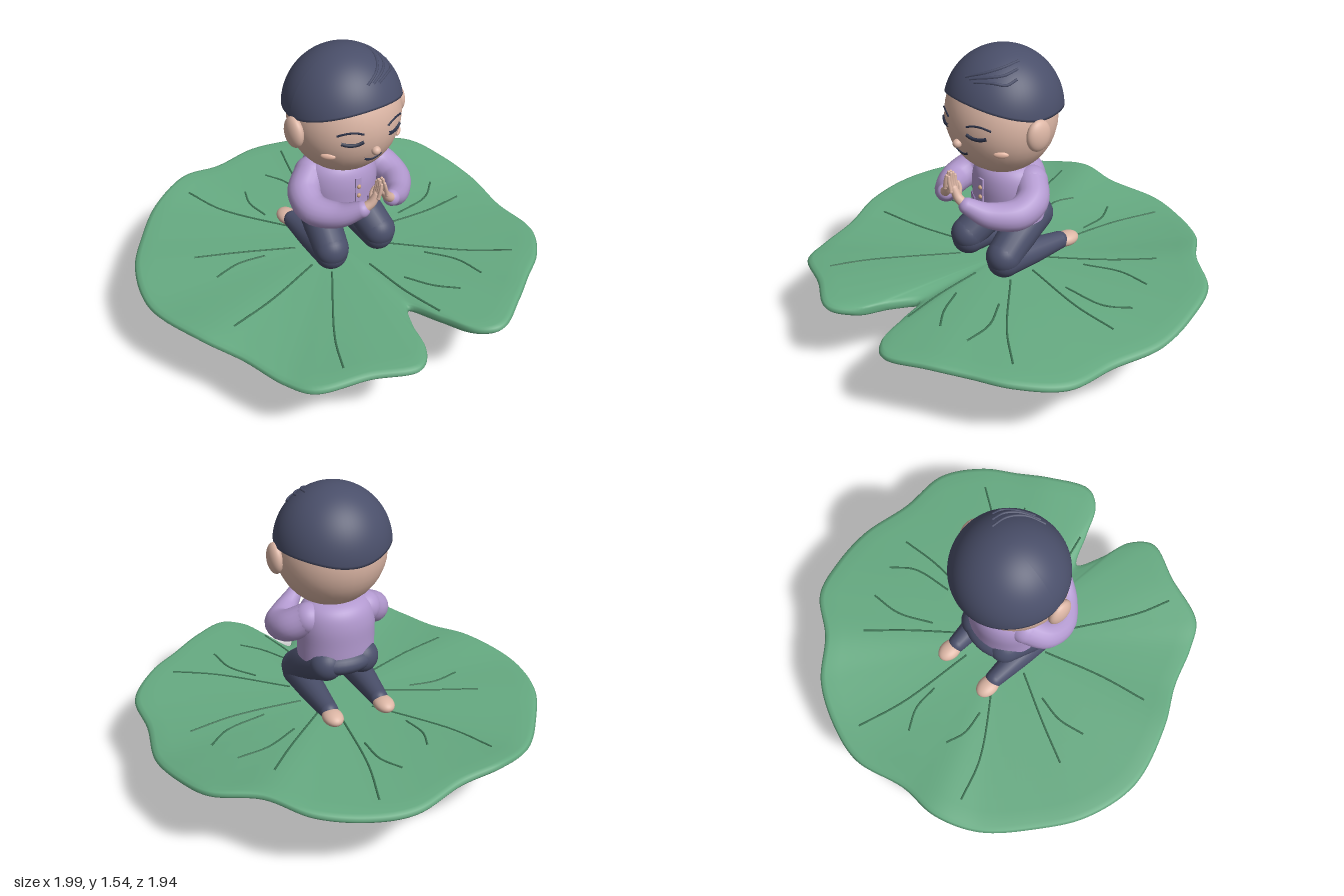
import * as THREE from 'three';

const mat = (name, color, extra = {}) => Object.assign(new THREE.MeshStandardMaterial({ color, ...extra }), { name });
const V = (a) => new THREE.Vector3(...a);

// Leaf outline as [x, z, rim height]
const OUTLINE = [
  [-1, -0.08, 0.41], [-0.94, -0.37, 0.42], [-0.8, -0.59, 0.42], [-0.61, -0.8, 0.43], [-0.4, -0.9, 0.46], [-0.19, -0.91, 0.44],
  [0.08, -0.98, 0.42], [0.29, -0.94, 0.42], [0.51, -0.83, 0.44], [0.67, -0.65, 0.465], [0.87, -0.51, 0.45], [0.95, -0.32, 0.42],
  [0.99, -0.08, 0.385], [0.95, 0.19, 0.38], [0.94, 0.45, 0.39], [0.8, 0.64, 0.41], [0.64, 0.75, 0.42], [0.48, 0.86, 0.43],
  [0.29, 0.96, 0.42], [0.19, 0.91, 0.41], [0.11, 0.75, 0.4], [0.03, 0.59, 0.39], [-0.04, 0.72, 0.4], [-0.09, 0.88, 0.41],
  [-0.19, 0.96, 0.42], [-0.4, 0.88, 0.42], [-0.64, 0.8, 0.4], [-0.72, 0.67, 0.39], [-0.8, 0.45, 0.4], [-0.91, 0.24, 0.42],
];
// Leaf veins as [x, z] triples
const VEINS = [
  [[-0.44, -0.75], [-0.36, -0.54], [-0.1, -0.18]], [[0.2, -0.85], [0.13, -0.6], [0.08, -0.2]],
  [[0.55, -0.49], [0.4, -0.33], [0.15, -0.1]], [[0.78, 0.03], [0.55, 0.05], [0.2, 0.02]],
  [[0.7, 0.56], [0.5, 0.43], [0.2, 0.16]], [[0.12, 0.71], [0.07, 0.5], [0.04, 0.25]],
  [[-0.47, 0.77], [-0.4, 0.6], [-0.15, 0.2]], [[-0.74, 0.27], [-0.5, 0.21], [-0.2, 0.1]],
  [[-0.66, -0.27], [-0.45, -0.18], [-0.2, -0.06]], [[-0.18, -0.6], [-0.21, -0.5], [-0.19, -0.37]],
  [[0, -0.69], [0.06, -0.58], [0.07, -0.44]], [[0.66, -0.31], [0.5, -0.29], [0.33, -0.2]],
  [[0.73, -0.14], [0.62, -0.05], [0.41, -0.01]], [[0.45, 0.62], [0.42, 0.47], [0.32, 0.33]],
  [[0.29, 0.65], [0.2, 0.56], [0.12, 0.43]], [[-0.64, -0.08], [-0.5, -0.11], [-0.36, -0.09]],
];

export function createModel() {
  const green = mat('leaf green', 0x66ab82);
  const veinGreen = mat('vein green', 0x3d7253);
  const skin = mat('skin', 0xdcb6a5);
  const blush = mat('blush', 0xe6b8a4);
  const navy = mat('navy', 0x4a4f6a);
  const hairNavy = mat('hair navy', 0x4a4f6a, { side: THREE.DoubleSide });
  const ink = mat('ink', 0x2b3147);
  const lilac = mat('lilac', 0xb299cf, { side: THREE.DoubleSide });
  const plum = mat('pocket plum', 0x8f78ac);
  const gold = mat('button tan', 0xc9a283);

  const model = new THREE.Group();
  model.name = 'kneelingFigureOnLeaf';
  const figure = new THREE.Group();
  figure.name = 'figure';
  figure.position.x = 0.01;
  model.add(figure);

  const add = (name, geo, material, parent = figure) => {
    const m = new THREE.Mesh(geo, material);
    m.name = name;
    parent.add(m);
    return m;
  };
  const ball = (name, pos, size, material, parent) => {
    const m = add(name, new THREE.SphereGeometry(1, 32, 20), material, parent);
    m.position.set(...pos);
    m.scale.set(...size);
    return m;
  };
  // Tube with a varying radius and round ends
  const limb = (name, pts, radii, material, parent = figure, seg = 28, sides = 18) => {
    const group = new THREE.Group();
    group.name = name;
    parent.add(group);
    const curve = new THREE.CatmullRomCurve3(pts.map(V));
    const geo = new THREE.TubeGeometry(curve, seg, 1, sides);
    const p = geo.attributes.position, n = geo.attributes.normal;
    for (let i = 0; i < p.count; i++) {
      const t = Math.floor(i / (sides + 1)) / seg, c = curve.getPointAt(t);
      const f = t * (radii.length - 1), k = Math.min(Math.floor(f), radii.length - 2);
      const r = THREE.MathUtils.lerp(radii[k], radii[k + 1], f - k);
      p.setXYZ(i, c.x + n.getX(i) * r, c.y + n.getY(i) * r, c.z + n.getZ(i) * r);
    }
    add(name + 'Tube', geo, material, group);
    [[pts[0], radii[0]], [pts.at(-1), radii.at(-1)]].forEach(([q, r]) => ball(name + 'End', q, [r, r, r], material, group));
    return group;
  };
  const line = (name, pts, r, material, parent = figure) =>
    add(name, new THREE.TubeGeometry(new THREE.CatmullRomCurve3(pts.map(V)), 24, r, 6), material, parent);

  // Leaf pad: rings running from the top centre over the rim to the bottom centre
  const N = 240;
  const rim = new THREE.CatmullRomCurve3(OUTLINE.map(([x, z, y]) => new THREE.Vector3(x, y, z)), true).getPoints(N).slice(0, N);
  const topY = (y, t) => THREE.MathUtils.lerp(0.415, y, t * t);
  const lowY = (y, t) => THREE.MathUtils.lerp(0.3, y - 0.04, t * t);
  const rings = [];
  for (let j = 0; j <= 14; j++) rings.push([j / 14 * 0.97, topY]);
  rings.push([0.99, (y) => y - 0.007], [1, (y) => y - 0.02], [0.99, (y) => y - 0.035]);
  for (let j = 14; j >= 0; j--) rings.push([j / 14 * 0.97, lowY]);
  const pos = [], idx = [];
  rings.forEach(([t, h], j) => rim.forEach((q, i) => {
    pos.push(q.x * t, h(q.y, t), q.z * t);
    if (j === rings.length - 1) return;
    const a = j * N + i, b = j * N + (i + 1) % N;
    idx.push(a, b, a + N, b, b + N, a + N);
  }));
  const leafGeo = new THREE.BufferGeometry();
  leafGeo.setAttribute('position', new THREE.Float32BufferAttribute(pos, 3));
  leafGeo.setIndex(idx);
  leafGeo.computeVertexNormals();
  add('leafPad', leafGeo, green, model);

  // Veins laid on the leaf's top
  const leafTop = (x, z) => {
    const r = Math.hypot(x, z);
    const q = rim.reduce((m, c) => {
      const d = (x * c.x + z * c.z) / (r * Math.hypot(c.x, c.z));
      return d > m.d ? { d, c } : m;
    }, { d: -2, c: null }).c;
    return topY(q.y, r / Math.hypot(q.x, q.z));
  };
  VEINS.forEach((v) => {
    const flat = new THREE.CatmullRomCurve3(v.map(([x, z]) => new THREE.Vector3(x, 0, z))).getPoints(10);
    line('vein', flat.map((q) => [q.x, leafTop(q.x, q.z), q.z]), 0.0055, veinGreen, model);
  });

  // Stem
  limb('stem', [[0.01, 0.31, 0.02], [0, 0.26, 0.015], [-0.03, 0.18, 0], [-0.08, 0.024, -0.03]],
    [0.045, 0.018, 0.03, 0.031, 0.028, 0.025, 0.022], green, model);

  // Head, ears and nose
  ball('head', [0, 1.215, 0.06], [0.272, 0.283, 0.262], skin);
  for (const s of [-1, 1]) ball('ear', [s * 0.282, 1.205, 0.075], [0.036, 0.077, 0.065], skin);
  ball('nose', [0, 1.135, 0.318], [0.022, 0.021, 0.022], skin);

  // Face details following the head's surface
  const onFace = (x, y, lift = 0) =>
    [x, y, 0.06 + lift + 0.262 * Math.sqrt(1 - (x / 0.272) ** 2 - ((y - 1.215) / 0.283) ** 2)];
  const arc = (x0, x1, y, bend) => [0, 0.25, 0.5, 0.75, 1].map((t) => onFace(x0 + (x1 - x0) * t, y + bend * 4 * t * (1 - t)));
  for (const s of [-1, 1]) {
    line('eyebrow', arc(s * 0.065, s * 0.175, 1.24, 0.014), 0.005, ink);
    line('closedEye', arc(s * 0.066, s * 0.16, 1.202, -0.012), 0.009, ink);
    const cheek = ball('cheek', onFace(s * 0.195, 1.12), [0.035, 0.016, 0.012], blush);
    cheek.rotation.y = s * 0.8;
  }
  line('mouth', arc(-0.048, 0.048, 1.095, -0.018), 0.006, ink);

  // Hair cap: a sphere cut along a wavy hairline and turned inward at its edge
  const hairGeo = new THREE.SphereGeometry(1, 64, 40);
  const hp = hairGeo.attributes.position, uv = hairGeo.attributes.uv;
  const H = { x: 0.284, y: 0.29, z: 0.28, cy: 1.25, cz: 0.045 };
  for (let i = 0; i < hp.count; i++) {
    const phi = uv.getX(i) * Math.PI * 2, s = 1 - uv.getY(i);
    const dx = -Math.cos(phi), dz = Math.sin(phi);
    const edge = dz > 0 ? 1.27 + 0.075 * dz ** 1.5 : 1.27 - 0.04 * dz ** 4;
    const end = Math.acos((edge - H.cy) / H.y);
    const th = Math.min(1, s / 0.9) * end;
    const shrink = s > 0.9 ? 1 - (s - 0.9) * 1.5 : 1;
    hp.setXYZ(i, dx * Math.sin(th) * H.x * shrink, H.cy + Math.cos(th) * H.y, H.cz + dz * Math.sin(th) * H.z * shrink);
  }
  hairGeo.computeVertexNormals();
  add('hair', hairGeo, hairNavy);
  const onHair = (x, z) => [x, H.cy + H.y * Math.sqrt(1 - (x / H.x) ** 2 - ((z - H.cz) / H.z) ** 2), z];
  for (const d of [0, 0.03, 0.06]) {
    line('hairStrand', [[0.125 + d, 0.06 + d], [0.115 + d, 0.14 + d * 0.5], [0.07 + d, 0.21], [-0.01 + d, 0.255]].map((q) => onHair(...q)), 0.007, navy);
  }

  // Shirt with placket, buttons and pockets
  const shirt = add('shirt', new THREE.LatheGeometry(new THREE.SplineCurve(
    [[0.195, 0.68], [0.195, 0.76], [0.195, 0.86], [0.175, 0.93], [0.13, 0.968], [0.05, 0.985], [0, 0.987]]
      .map((q) => new THREE.Vector2(...q))).getPoints(28), 48), lilac);
  shirt.scale.z = 0.87;
  shirt.position.z = 0.012;
  add('placket', new THREE.BoxGeometry(0.03, 0.22, 0.009), lilac).position.set(0, 0.795, 0.184);
  for (let i = 0; i < 4; i++) ball('button', [0, 0.71 + i * 0.05, 0.191], [0.011, 0.011, 0.009], gold);
  for (const s of [-1, 1]) {
    const flap = add('pocketFlap', new THREE.BoxGeometry(0.07, 0.012, 0.008), plum);
    flap.position.set(s * 0.095, 0.765, 0.16);
    flap.rotation.y = s * 0.45;
    const pocket = add('pocket', new THREE.BoxGeometry(0.07, 0.055, 0.008), lilac);
    pocket.position.set(s * 0.095, 0.735, 0.16);
    pocket.rotation.y = s * 0.45;
  }

  // Hips
  ball('hips', [0, 0.67, -0.045], [0.185, 0.075, 0.14], navy);

  for (const s of [-1, 1]) {
    // Folded arm in its sleeve
    limb('sleeve', [[s * 0.15, 0.89, 0], [s * 0.225, 0.84, 0.06], [s * 0.235, 0.805, 0.16], [s * 0.16, 0.81, 0.27], [s * 0.085, 0.85, 0.335]],
      [0.08, 0.08, 0.075, 0.062, 0.04], lilac);

    // Hand pressed against the other one
    limb('palm', [[s * 0.075, 0.86, 0.345], [s * 0.045, 0.885, 0.355], [s * 0.02, 0.925, 0.36]], [0.024, 0.022, 0.018], skin);
    for (let i = 0; i < 4; i++) {
      const z = 0.342 + i * 0.012;
      limb('finger', [[s * 0.024, 0.915, z], [s * 0.014, 0.96, z + 0.003], [s * 0.009, 0.985 + Math.sin(i * 1.05) * 0.018, z]],
        [0.01, 0.009, 0.007], skin, figure, 8, 8);
    }
    limb('thumb', [[s * 0.04, 0.89, 0.345], [s * 0.028, 0.925, 0.33], [s * 0.014, 0.945, 0.33]], [0.011, 0.01, 0.008], skin, figure, 8, 8);

    // Kneeling leg and bare foot
    limb('thigh', [[s * 0.095, 0.665, -0.08], [s * 0.12, 0.61, 0.05], [s * 0.14, 0.53, 0.163]], [0.085, 0.092, 0.086], navy);
    limb('shin', [[s * 0.14, 0.505, 0.16], [s * 0.14, 0.49, 0], [s * 0.135, 0.474, -0.2]], [0.083, 0.066, 0.046], navy);
    ball('foot', [s * 0.138, 0.468, -0.25], [0.05, 0.036, 0.068], skin);
  }

  return model;
}
